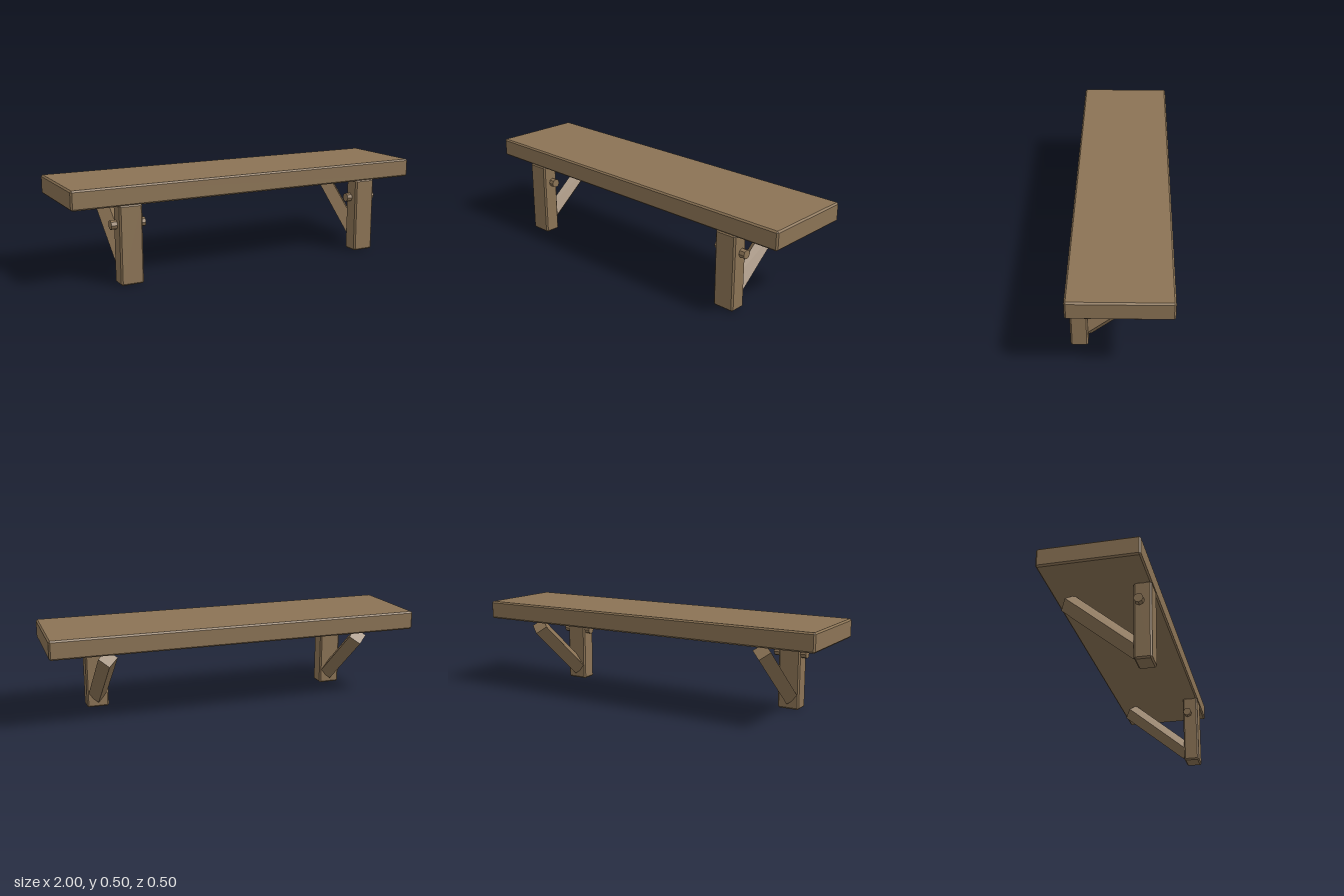
import * as THREE from 'three';
import { ConvexGeometry } from 'three/addons/geometries/ConvexGeometry.js';

// Box with every edge cut by a 45 degree chamfer c
function chamferBox(w, h, d, c) {
  const points = [];
  const half = [w / 2, h / 2, d / 2];
  for (const sx of [-1, 1]) for (const sy of [-1, 1]) for (const sz of [-1, 1]) {
    for (let axis = 0; axis < 3; axis++) {
      const [x, y, z] = half.map((v, i) => (i === axis ? v : v - c));
      points.push(new THREE.Vector3(sx * x, sy * y, sz * z));
    }
  }
  return new ConvexGeometry(points);
}

export function createModel() {
  const group = new THREE.Group();
  const wood = new THREE.MeshStandardMaterial({ color: 0x8b7355, flatShading: true });
  wood.name = 'brown wood';

  const add = (parent, name, geometry, x, y, z) => {
    const mesh = new THREE.Mesh(geometry, wood);
    mesh.name = name;
    mesh.position.set(x, y, z);
    parent.add(mesh);
    return mesh;
  };

  // Plank on top
  add(group, 'plank', chamferBox(2, 0.099, 0.5, 0.008), 0, 0.4505, 0);

  // One support at each end: post, crossing peg and diagonal brace
  const postGeometry = chamferBox(0.12, 0.405, 0.088, 0.008);
  const pegGeometry = new THREE.CylinderGeometry(0.024, 0.024, 0.18, 8);
  const braceGeometry = new THREE.CylinderGeometry(0.05, 0.05, 0.47, 4);
  for (const side of [-1, 1]) {
    const support = new THREE.Group();
    support.name = side > 0 ? 'leftSupport' : 'rightSupport';
    support.position.x = side * 0.7;
    add(support, 'post', postGeometry, 0, 0.2025, 0.206);
    add(support, 'peg', pegGeometry, 0, 0.302, 0.192).rotation.z = Math.PI / 2;
    add(support, 'brace', braceGeometry, 0, 0.218, 0).rotation.x = THREE.MathUtils.degToRad(-50);
    group.add(support);
  }
  return group;
}
